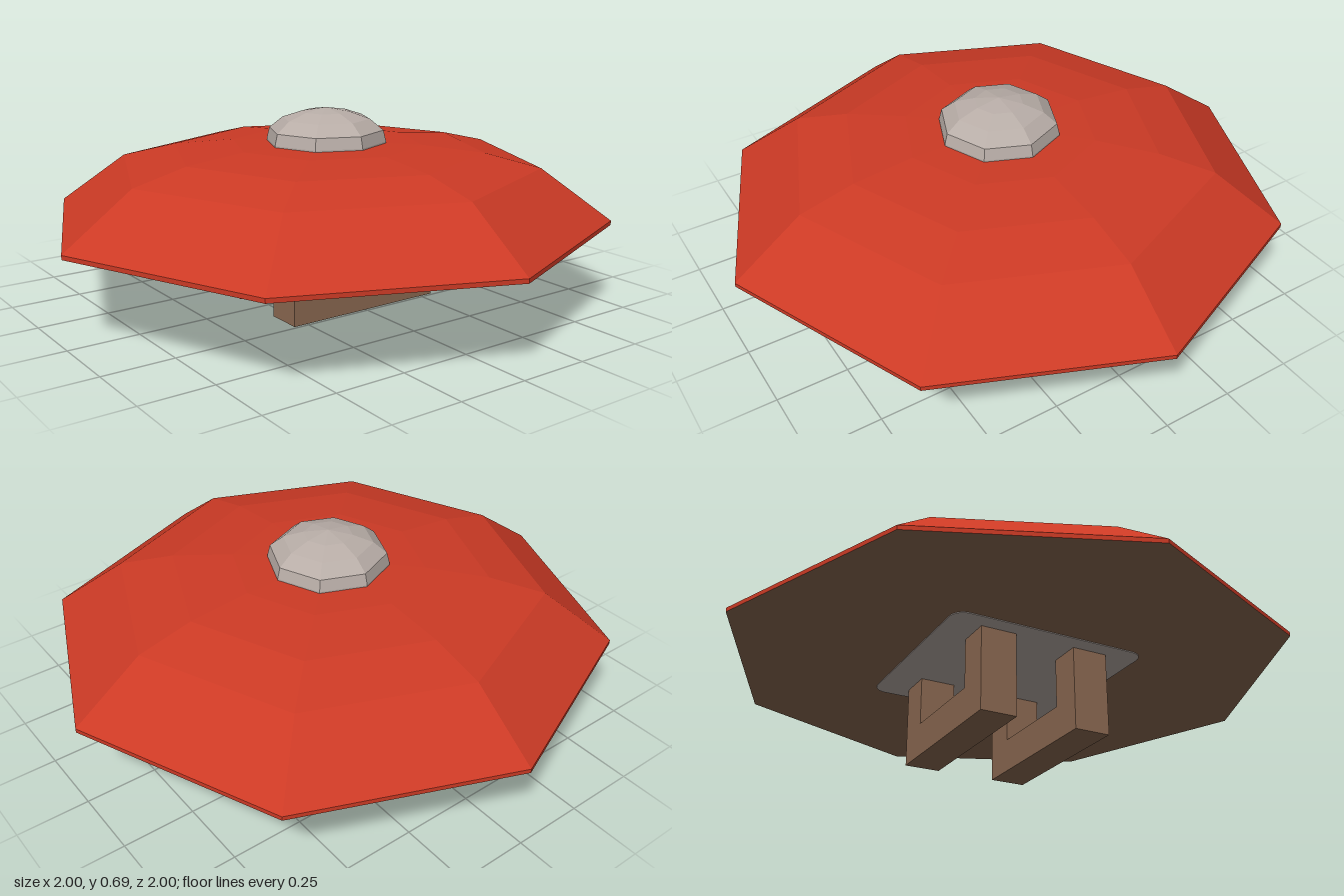
import * as THREE from 'three';

const paint = (name, color) => {
  const m = new THREE.MeshStandardMaterial({ color, flatShading: true });
  m.name = name;
  return m;
};

// Eight-sided turned shape with hard facets, profile listed from bottom to top
const octagonal = (profile) => {
  const points = profile.map(([r, y]) => new THREE.Vector2(r, y));
  const g = new THREE.LatheGeometry(points, 8).toNonIndexed();
  g.computeVertexNormals();
  return g;
};

export function createModel() {
  const group = new THREE.Group();
  const red = paint('red paint', 0xcc3a25);
  const wood = paint('brown wood', 0x8d6a52);
  const steel = paint('grey metal', 0xb8ada7);

  const add = (name, geometry, material) => {
    const mesh = new THREE.Mesh(geometry, material);
    mesh.name = name;
    group.add(mesh);
    return mesh;
  };

  // Domed shield face with a thin rim
  add('shieldFace', octagonal([
    [1, 0.298], [1, 0.313], [0.755, 0.49], [0.56, 0.538], [0.34, 0.56], [0, 0.567],
  ]), red);

  // Metal boss in the middle of the face
  add('boss', octagonal([
    [0.215, 0.555], [0.215, 0.568], [0.205, 0.608], [0.157, 0.647], [0.085, 0.671], [0, 0.685],
  ]), steel);

  // Flat wooden back
  add('shieldBack', new THREE.CircleGeometry(1, 8).rotateX(Math.PI / 2).translate(0, 0.298, 0), wood);

  // Rounded square plate behind the handles
  const h = 0.36, r = 0.05;
  const plate = new THREE.Shape();
  for (let i = 0; i < 4; i++) {
    const a = i * Math.PI / 2;
    const sx = i === 0 || i === 3 ? 1 : -1, sy = i < 2 ? 1 : -1;
    plate.absarc(sx * (h - r), sy * (h - r), r, a, a + Math.PI / 2, false);
  }
  plate.closePath();
  const plateGeometry = new THREE.ExtrudeGeometry(plate, { depth: 0.004, bevelEnabled: false, curveSegments: 4 });
  add('backPlate', plateGeometry.rotateX(Math.PI / 2).translate(0, 0.299, 0), steel);

  // Pair of U-shaped handles
  const u = new THREE.Shape([
    [-0.3, 0], [0.3, 0], [0.3, 0.3], [0.18, 0.3], [0.18, 0.12], [-0.18, 0.12], [-0.18, 0.3], [-0.3, 0.3],
  ].map(([z, y]) => new THREE.Vector2(z, y)));
  const handle = new THREE.ExtrudeGeometry(u, { depth: 0.13, bevelEnabled: false })
    .translate(0, 0, -0.065).rotateY(-Math.PI / 2);
  for (const side of [1, -1]) {
    add(side > 0 ? 'leftHandle' : 'rightHandle', handle, wood).position.x = side * 0.175;
  }

  return group;
}
